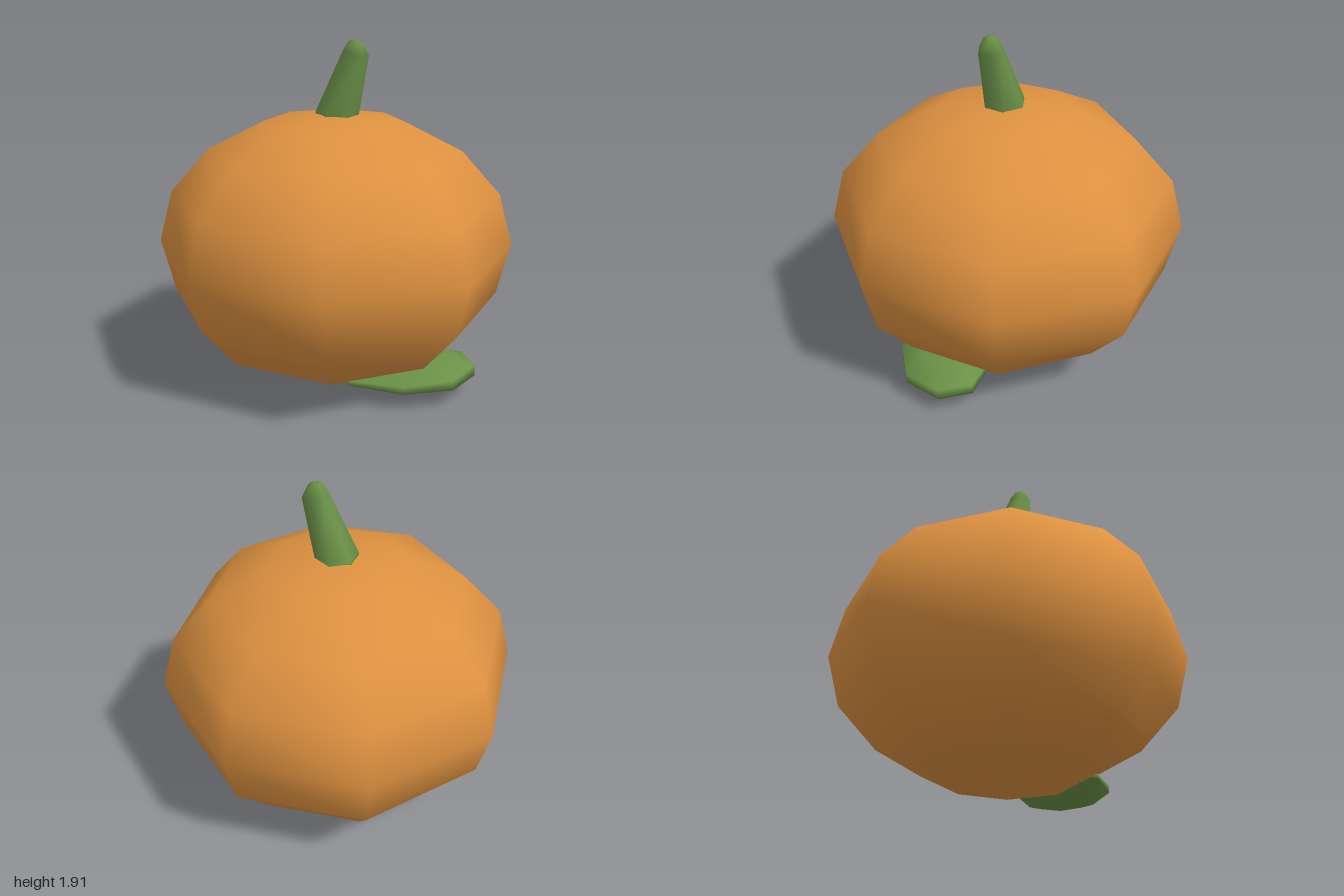
import * as THREE from 'three';

// Smooth closed loft through rings of equal length, from bottom to top;
// each end closes on the centre of its own ring.
function loft(rings, bottom, top) {
  const n = rings[0].length;
  const pts = [...rings.flat(), bottom, top];
  const b = pts.length - 2, t = pts.length - 1, last = (rings.length - 1) * n;
  const index = [];
  for (let i = 0; i < n; i++) {
    const j = (i + 1) % n;
    for (let r = 0; r < last; r += n) {
      index.push(r + i, r + n + i, r + j, r + j, r + n + i, r + n + j);
    }
    index.push(b, i, j, t, last + j, last + i);
  }
  const geo = new THREE.BufferGeometry();
  geo.setAttribute('position', new THREE.Float32BufferAttribute(pts.flat(), 3));
  geo.setIndex(index);
  geo.computeVertexNormals();
  return geo;
}

export function createModel() {
  const orange = new THREE.MeshStandardMaterial({ color: 0xdd9140 });
  orange.name = 'pumpkin orange';
  const green = new THREE.MeshStandardMaterial({ color: 0x6a9148 });
  green.name = 'stem green';

  const group = new THREE.Group();
  group.name = 'pumpkin';
  const add = (name, geo, mat) => {
    const mesh = new THREE.Mesh(geo, mat);
    mesh.name = name;
    group.add(mesh);
  };

  // Body: squashed eight-sided sphere
  const body = new THREE.SphereGeometry(1, 8, 8);
  body.scale(1, 0.76, 1);
  body.translate(0, 0.76, 0);
  add('body', body, orange);

  // Stem: leaning, tapered hexagon with a rounded tip; the rings tilt with it
  const stemRings = [
    [0.0, 1.44, 0.0, 0.118],
    [0.015, 1.5, 0.008, 0.115],
    [0.118, 1.845, 0.075, 0.069],
    [0.118, 1.9, 0.078, 0.038],
  ].map(([x, y, z, r]) => Array.from({ length: 6 }, (_, i) => {
    const a = (i * Math.PI) / 3, dx = r * Math.cos(a), dz = r * Math.sin(a);
    return [x + dx, y - 0.2 * dx - 0.1 * dz, z + dz];
  }));
  add('stem', loft(stemRings, [0, 1.44, 0], [0.12, 1.915, 0.078]), green);

  // Leaf: flat pebble-like lens lying under the front, thinner toward its -x end
  const outline = [
    [0.79, 0.32], [0.66, 0.51], [0.39, 0.575], [0.1, 0.48],
    [0.04, 0.3], [0.17, 0.11], [0.44, 0.045], [0.73, 0.14],
  ];
  const cx = 0.415, cz = 0.31;
  const leafRings = [[0.62, 0.062, 0], [1, 0.103, 0], [1, 0.145, 0.05], [0.62, 0.195, 0.05]]
    .map(([s, y, tilt]) => outline.map(([x, z]) =>
      [cx + s * (x - cx), y + tilt * (x - cx), cz + s * (z - cz)]));
  add('leaf', loft(leafRings, [cx, 0.05, cz], [cx, 0.208, cz]), green);

  return group;
}
